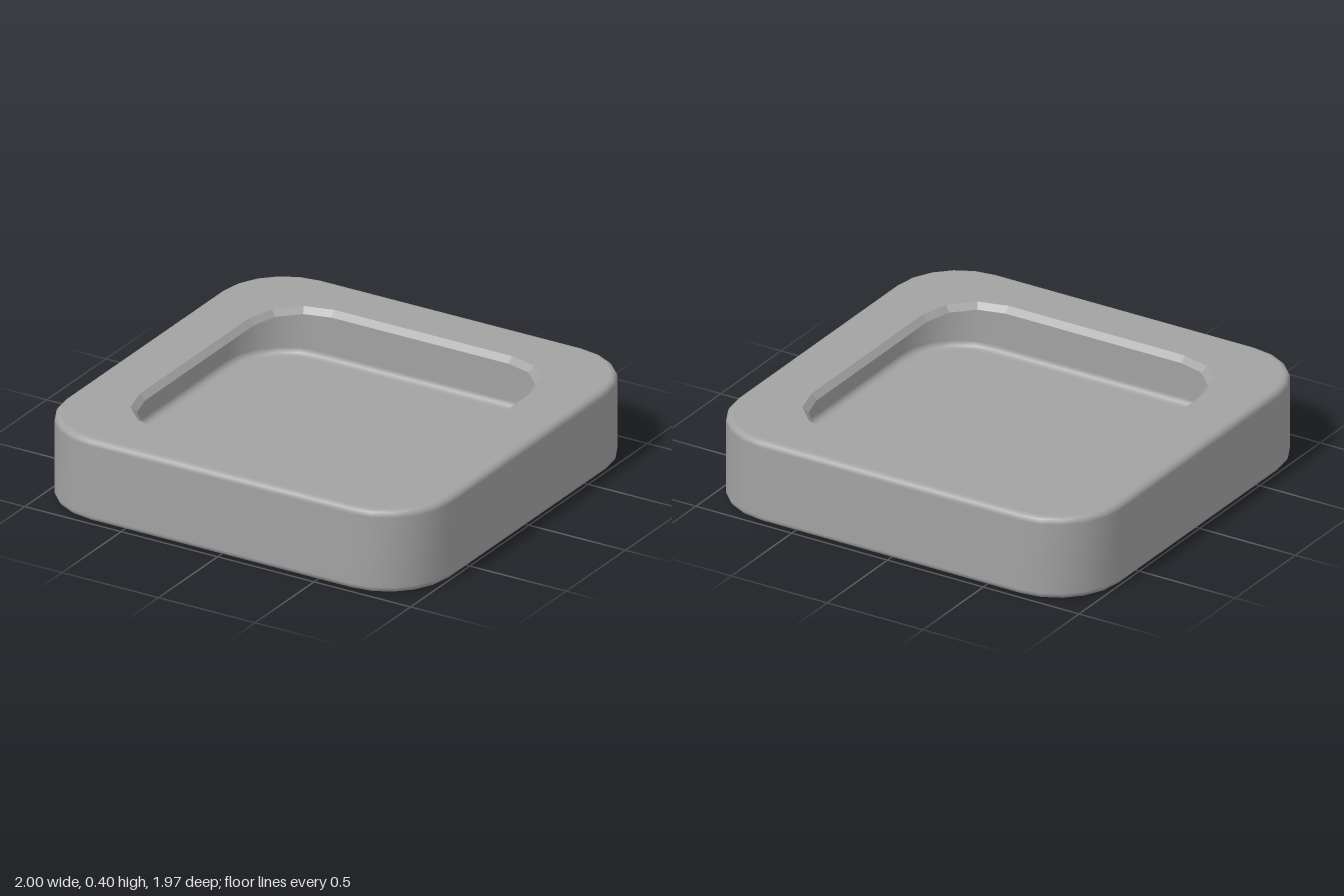
import * as THREE from 'three';

// Rounded rectangle in plan: half sizes, corner radius, segments per corner
function outline(hx, hz, r, seg) {
  const pts = [];
  for (let c = 0; c < 4; c++) {
    const sx = c === 0 || c === 3 ? 1 : -1;
    const sz = c < 2 ? 1 : -1;
    for (let i = 0; i <= seg; i++) {
      const a = (c + i / seg) * Math.PI / 2;
      pts.push(new THREE.Vector2(sx * (hx - r) + r * Math.cos(a), sz * (hz - r) + r * Math.sin(a)));
    }
  }
  return pts;
}

// Skin a stack of rings ({ pts, y }) of equal point count
function loft(rings, flat = false) {
  const n = rings[0].pts.length;
  const pos = [];
  const idx = [];
  for (const { pts, y } of rings) for (const p of pts) pos.push(p.x, y, p.y);
  for (let k = 0; k < rings.length - 1; k++) {
    for (let i = 0; i < n; i++) {
      const a = k * n + i, b = k * n + (i + 1) % n;
      idx.push(a, a + n, b, b, a + n, b + n);
    }
  }
  let geo = new THREE.BufferGeometry();
  geo.setAttribute('position', new THREE.Float32BufferAttribute(pos, 3));
  geo.setIndex(idx);
  if (flat) geo = geo.toNonIndexed();
  geo.computeVertexNormals();
  return geo;
}

// Horizontal face at height y, optionally with a hole
function plate(pts, y, up = true, hole = null) {
  const flip = up ? -1 : 1;
  const map = (list) => list.map((p) => new THREE.Vector2(p.x, flip * p.y));
  const shape = new THREE.Shape(map(pts));
  if (hole) shape.holes.push(new THREE.Path(map(hole)));
  return new THREE.ShapeGeometry(shape).rotateX(flip * Math.PI / 2).translate(0, y, 0);
}

export function createModel() {
  const group = new THREE.Group();
  const grey = new THREE.MeshStandardMaterial({ color: 0xa2a2a2 });
  grey.name = 'grey';
  const add = (name, geo) => {
    const mesh = new THREE.Mesh(geo, grey);
    mesh.name = name;
    group.add(mesh);
  };

  // A thin hollow shell, open through the top
  const H = 0.4, bevel = 0.03, shell = 0.027, steps = 4;
  const outer = (d) => outline(1 - d, 0.985 - d, 0.325 - d, 5);
  const inner = (d) => outer(shell + d);
  const lip = (d) => outline(0.735 - d, 0.735 - d, 0.275 - d, 3);

  // Outer wall with rounded bottom and top edges
  const wall = [];
  for (let i = 0; i <= steps; i++) {
    const a = i / steps * Math.PI / 2;
    wall.push({ pts: outer(bevel * (1 - Math.sin(a))), y: bevel * (1 - Math.cos(a)) });
  }
  for (let i = 0; i <= steps; i++) {
    const a = i / steps * Math.PI / 2;
    wall.push({ pts: outer(bevel * (1 - Math.cos(a))), y: H - bevel * (1 - Math.sin(a)) });
  }
  add('outerWall', loft(wall));
  add('base', plate(outer(bevel), 0, false));
  add('topRim', plate(outer(bevel), H, true, lip(0)));

  // Faceted chamfer around the opening and the underside of the rim
  const lipY = H - shell;
  add('openingLip', loft([{ pts: lip(0), y: H }, { pts: lip(shell), y: lipY }], true));
  add('rimUnderside', plate(inner(0), lipY, false, lip(shell)));

  // Inner wall, rounded into the floor
  const innerWall = [{ pts: inner(0), y: lipY }];
  for (let i = 0; i <= steps; i++) {
    const a = i / steps * Math.PI / 2;
    innerWall.push({ pts: inner(bevel * (1 - Math.cos(a))), y: shell + bevel * (1 - Math.sin(a)) });
  }
  add('innerWall', loft(innerWall));
  add('innerFloor', plate(inner(bevel), shell));

  return group;
}
